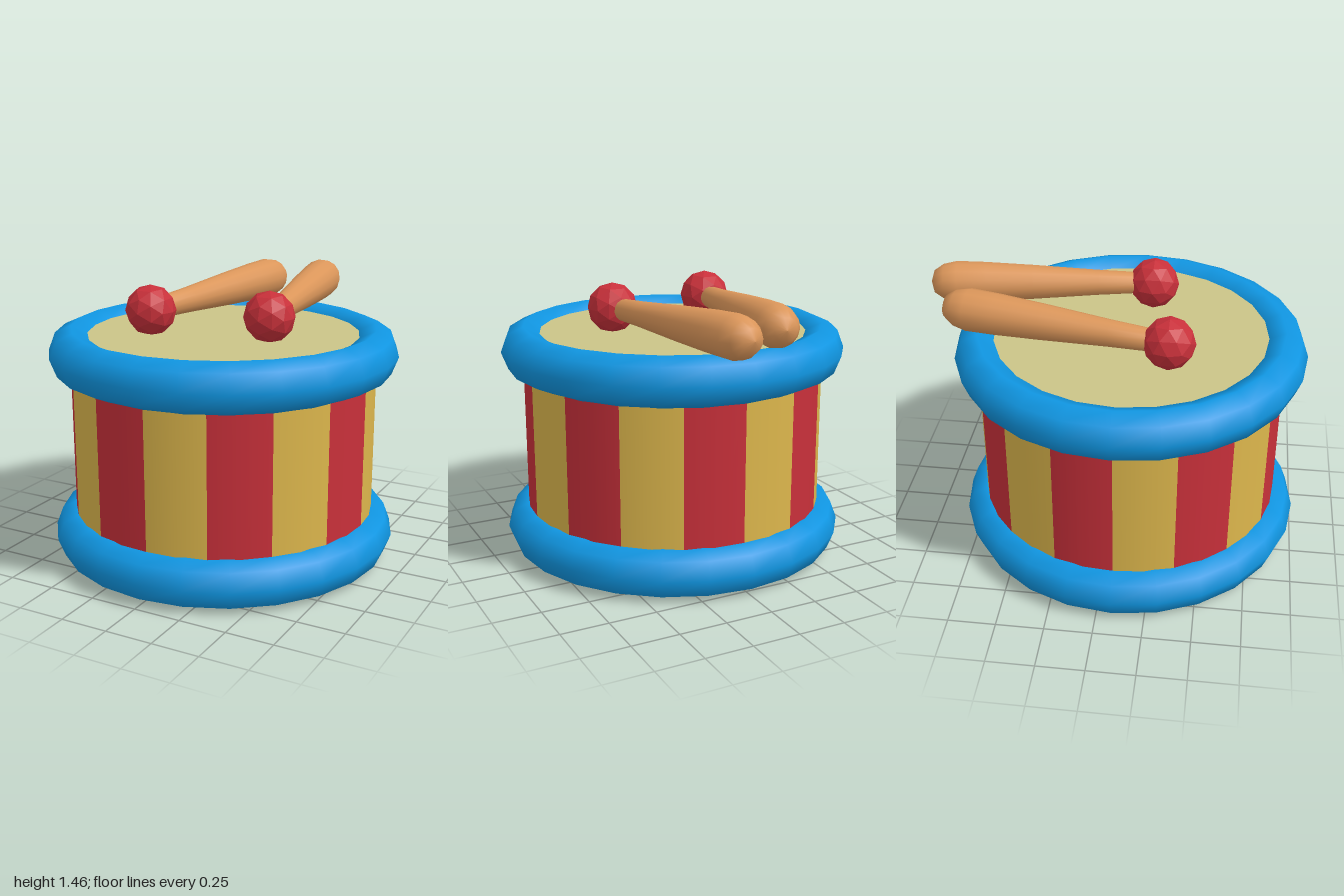
import * as THREE from 'three';

const mat = (name, color) => new THREE.MeshStandardMaterial({ name, color });

export function createModel() {
  const blue = mat('blue', 0x1096e2);
  const red = mat('red', 0xc8303a);
  const yellow = mat('yellow', 0xdcb64c);
  const skin = mat('skin', 0xcac488);
  const green = mat('green', 0x6cab7c);
  const wood = mat('wood', 0xdb965a);

  const model = new THREE.Group();
  const drum = new THREE.Group();
  drum.name = 'drum';
  drum.position.z = 0.08;
  model.add(drum);

  const add = (parent, name, geometry, material) => {
    const mesh = new THREE.Mesh(geometry, material);
    mesh.name = name;
    parent.add(mesh);
    return mesh;
  };

  // Shell: sixteen alternating stripes
  const step = Math.PI / 8;
  for (let i = 0; i < 16; i++) {
    const stripe = new THREE.CylinderGeometry(0.805, 0.805, 0.9, 2, 1, true, i * step, step);
    add(drum, 'shellStripe', stripe, i % 2 ? red : yellow).position.y = 0.62;
  }

  // Slightly tall rings around the top and bottom
  const ring = new THREE.TorusGeometry(0.8, 0.12, 8, 24).rotateX(Math.PI / 2).scale(1, 1.08, 1);
  add(drum, 'bottomRim', ring, blue).position.y = 0.13;
  add(drum, 'topRim', ring, blue).position.y = 1.11;

  // Drum skin and underside
  add(drum, 'drumSkin', new THREE.CircleGeometry(0.76, 24).rotateX(-Math.PI / 2), skin).position.y = 1.2;
  add(drum, 'underside', new THREE.CircleGeometry(0.76, 24).rotateX(Math.PI / 2), green).position.y = 0.027;

  // Sticks: tapered handle running from the ball to a rounded thick end
  const profile = [
    [0, 0], [0.053, 0.01], [0.068, 0.3], [0.092, 0.65], [0.106, 0.9],
    [0.11, 1.05], [0.094, 1.12], [0.06, 1.17], [0, 1.187],
  ].map(([r, y]) => new THREE.Vector2(r, y));
  const handle = new THREE.LatheGeometry(profile, 14);
  const ball = new THREE.IcosahedronGeometry(0.133, 1);
  const ballRed = red.clone();
  ballRed.flatShading = true;

  for (const [side, z] of [[-1, 0.3], [1, 0.17]]) {
    const stick = new THREE.Group();
    stick.name = side > 0 ? 'leftStick' : 'rightStick';
    stick.position.set(side * 0.31, 1.325, z);
    const direction = new THREE.Vector3(-side * 0.185, 0.03, -1.17).normalize();
    const stickHandle = add(stick, 'handle', handle, wood);
    stickHandle.quaternion.setFromUnitVectors(new THREE.Vector3(0, 1, 0), direction);
    add(stick, 'ball', ball, ballRed);
    model.add(stick);
  }

  return model;
}
